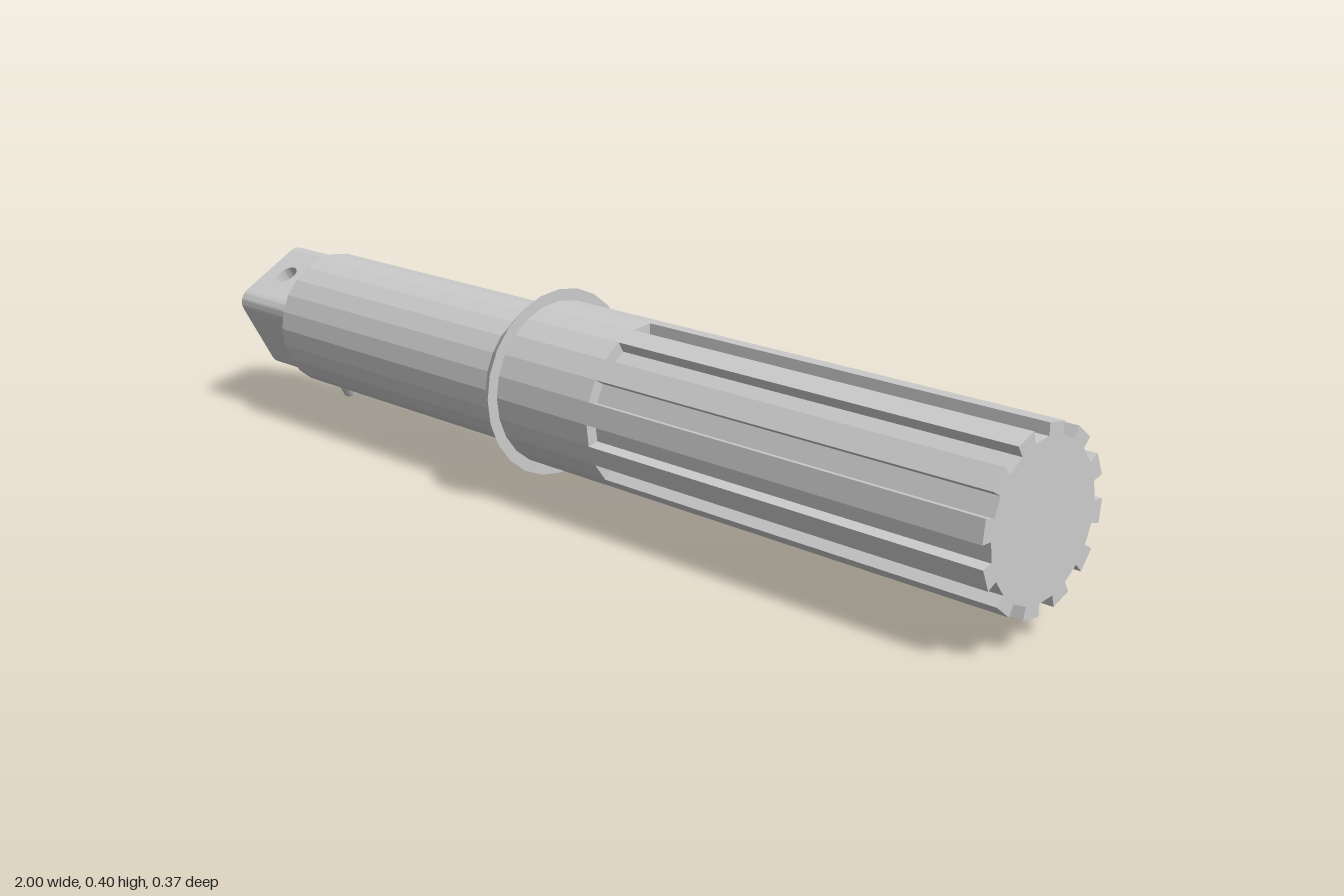
import * as THREE from 'three';
import { toCreasedNormals } from 'three/addons/utils/BufferGeometryUtils.js';

const AXIS_Y = 0.219;
const SIDES = 24;
const flat = new THREE.MeshStandardMaterial({ color: 0xcccccc, flatShading: true });
const smooth = new THREE.MeshStandardMaterial({ color: 0xcccccc });

function add(parent, name, geometry, material) {
  const mesh = new THREE.Mesh(geometry, material);
  mesh.name = name;
  parent.add(mesh);
  return mesh;
}

// Extrudes a (-z, y) cross-section along x
function extrudeX(shape, x0, x1) {
  const geo = new THREE.ExtrudeGeometry(shape, { depth: x1 - x0, bevelEnabled: false, curveSegments: 6 });
  return geo.rotateY(Math.PI / 2).translate(x0, 0, 0);
}

// Turned shaft with a conical collar
function shaftGeometry() {
  const profile = [
    [0, -0.83], [0.141, -0.83], [0.141, -0.17], [0.184, -0.115],
    [0.161, -0.115], [0.161, 0.13], [0, 0.13],
  ].map(([r, x]) => new THREE.Vector2(r, x));
  return new THREE.LatheGeometry(profile, SIDES).rotateZ(-Math.PI / 2);
}

// Grooved end: every second facet is sunk to the root radius
function splineGeometry() {
  const outer = 0.161, root = 0.139, step = (2 * Math.PI) / SIDES;
  const points = [];
  const put = (r, i) => points.push(new THREE.Vector2(-r * Math.sin(i * step), r * Math.cos(i * step)));
  for (let i = 0; i < SIDES; i += 2) {
    put(outer, i);
    put(root, i);
    put(root, i + 1);
    put(outer, i + 1);
  }
  return extrudeX(new THREE.Shape(points), 0.13, 1);
}

// Square drive with rounded long edges, a cross hole and a pin
function createDrive() {
  const drive = new THREE.Group();
  drive.name = 'squareDrive';
  const a = 0.1, r = 0.03, w = a - r, x0 = -1, x1 = -0.83;
  const pinX = -0.935, pinR = 0.023;

  // Middle slab, drilled through
  const slab = new THREE.Shape([
    new THREE.Vector2(x0, -w), new THREE.Vector2(x1, -w),
    new THREE.Vector2(x1, w), new THREE.Vector2(x0, w),
  ]);
  slab.holes.push(new THREE.Path().absarc(pinX, 0, pinR + 0.001, 0, 2 * Math.PI, true));
  const slabGeo = new THREE.ExtrudeGeometry(slab, { depth: 2 * a, bevelEnabled: false, curveSegments: 16 });
  slabGeo.translate(0, 0, -a).rotateX(-Math.PI / 2);
  add(drive, 'driveCore', toCreasedNormals(slabGeo, 0.5), smooth);

  // Rounded sides
  const side = new THREE.Shape();
  side.moveTo(w, -a);
  side.absarc(w, -w, r, -Math.PI / 2, 0, false);
  side.absarc(w, w, r, 0, Math.PI / 2, false);
  side.closePath();
  const sideGeo = toCreasedNormals(extrudeX(side, x0, x1), 0.5);
  for (const turn of [0, Math.PI]) {
    add(drive, 'driveSide', sideGeo, smooth).rotation.x = turn;
  }

  // Pin, sunk below the upper face and standing out of the lower one
  const top = 0.06, bottom = -0.239;
  const pin = new THREE.CylinderGeometry(pinR, pinR, top - bottom, 24);
  add(drive, 'pin', pin.translate(pinX, (top + bottom) / 2, 0), smooth);

  drive.rotation.x = Math.PI / 6;
  return drive;
}

export function createModel() {
  const model = new THREE.Group();
  model.name = 'splinedShaft';
  const body = new THREE.Group();
  body.name = 'shaftAssembly';
  body.position.y = AXIS_Y;
  add(body, 'shaftAndCollar', shaftGeometry(), flat);
  add(body, 'splinedEnd', splineGeometry(), flat);
  body.add(createDrive());
  model.add(body);
  return model;
}
